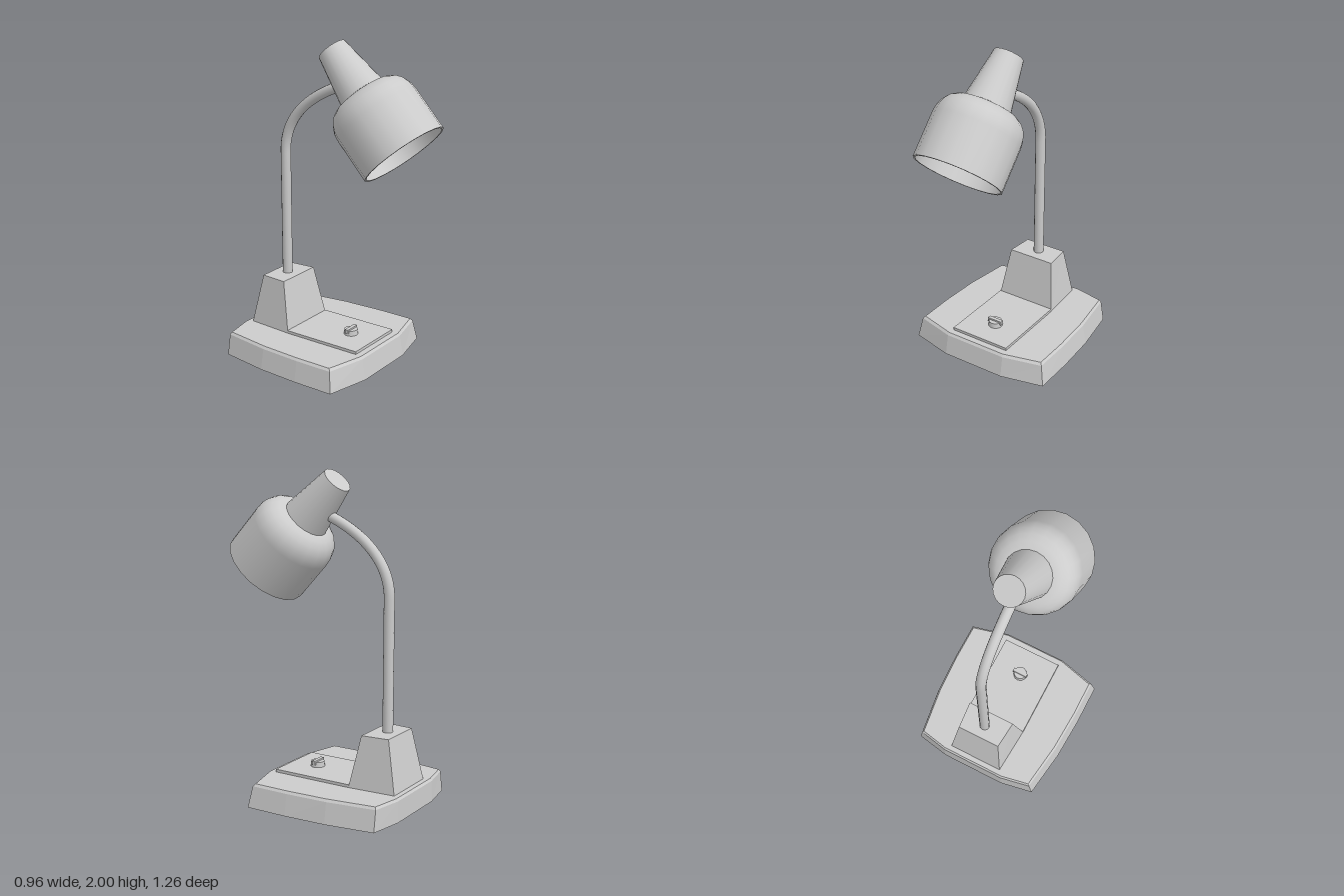
import * as THREE from 'three';

const smooth = new THREE.MeshStandardMaterial({ color: 0xcccccc });
const flat = new THREE.MeshStandardMaterial({ color: 0xcccccc, flatShading: true });

function part(name, geometry, material, parent, x = 0, y = 0, z = 0) {
  const mesh = new THREE.Mesh(geometry, material);
  mesh.name = name;
  mesh.position.set(x, y, z);
  parent.add(mesh);
  return mesh;
}

// Closed solid through horizontal rings. Each ring is { y, half }, where half lists
// the [x, z] corners of the +x side from front to back; the -x side is mirrored.
function loft(rings) {
  const position = [], index = [];
  const n = rings[0].half.length * 2;
  for (const { y, half } of rings) {
    const mirrored = half.map(([x, z]) => [-x, z]).reverse();
    for (const [x, z] of [...half, ...mirrored]) position.push(x, y, z);
  }
  for (let r = 0; r < rings.length - 1; r++) {
    for (let i = 0; i < n; i++) {
      const a = r * n + i, b = r * n + (i + 1) % n;
      index.push(a, b, b + n, a, b + n, a + n);
    }
  }
  const top = (rings.length - 1) * n;
  for (let i = 1; i < n - 1; i++) {
    index.push(0, i + 1, i, top, top + i, top + i + 1);
  }
  const geometry = new THREE.BufferGeometry();
  geometry.setAttribute('position', new THREE.Float32BufferAttribute(position, 3));
  geometry.setIndex(index);
  geometry.computeVertexNormals();
  return geometry;
}

const lathe = (points, sides) =>
  new THREE.LatheGeometry(points.map(([r, y]) => new THREE.Vector2(r, y)), sides);

export function createModel() {
  const lamp = new THREE.Group();
  lamp.name = 'deskLamp';

  // Bowed base with sloping sides and a small bevel round the top
  part('base', loft([
    { y: 0, half: [[0.21, 0.31], [0.48, 0.247], [0.48, -0.02], [0.466, -0.29], [0.422, -0.596], [0.21, -0.635]] },
    { y: 0.13, half: [[0.208, 0.287], [0.455, 0.226], [0.456, -0.02], [0.443, -0.288], [0.4, -0.594], [0.21, -0.631]] },
    { y: 0.145, half: [[0.204, 0.275], [0.443, 0.214], [0.444, -0.02], [0.431, -0.285], [0.39, -0.586], [0.21, -0.621]] },
  ]), flat, lamp);

  // Raised control plate and rotary switch
  part('controlPlate', new THREE.BoxGeometry(0.4, 0.023, 0.525), flat, lamp, 0, 0.1515, -0.0275);
  const knob = new THREE.Group();
  knob.name = 'switchKnob';
  knob.position.set(0, 0.163, 0.058);
  lamp.add(knob);
  part('knobDisc', new THREE.CylinderGeometry(0.042, 0.045, 0.032, 16), smooth, knob, 0, 0.016, 0);
  part('knobGrip', new THREE.BoxGeometry(0.1, 0.026, 0.024), flat, knob, 0, 0.029, 0);

  // Tapered block that holds the stem
  part('stemBlock', loft([
    { y: 0.14, half: [[0.2, -0.287], [0.18, -0.59]] },
    { y: 0.465, half: [[0.155, -0.35], [0.14, -0.525]] },
  ]), flat, lamp);

  // Straight stem, then the bend into the lamp neck
  const path = new THREE.CurvePath();
  const v = (y, z) => new THREE.Vector3(0, y, z);
  path.add(new THREE.LineCurve3(v(0.44, -0.44), v(1.27, -0.44)));
  path.add(new THREE.CubicBezierCurve3(v(1.27, -0.44), v(1.5, -0.44), v(1.655, -0.23), v(1.735, 0.0)));
  part('stem', new THREE.TubeGeometry(path, 48, 0.032, 12), smooth, lamp);

  // Lamp head: its local y axis runs from the rim up to the neck cap
  const head = new THREE.Group();
  head.name = 'lampHead';
  head.position.set(0, 1.383, 0.429);
  head.rotation.x = -0.745;
  lamp.add(head);

  const sides = 20;
  part('shadeOuter', lathe([
    [0.273, 0], [0.273, 0.28], [0.268, 0.325], [0.253, 0.365],
    [0.228, 0.398], [0.192, 0.422], [0.15, 0.433], [0.1, 0.436],
  ], sides), smooth, head);
  part('shadeInner', lathe([
    [0, 0.424], [0.15, 0.421], [0.186, 0.411], [0.22, 0.388],
    [0.243, 0.358], [0.256, 0.322], [0.261, 0.28], [0.261, 0],
  ], sides), smooth, head);
  part('shadeRim', lathe([[0.261, 0], [0.273, 0]], sides), smooth, head);
  part('neck', new THREE.CylinderGeometry(0.092, 0.146, 0.327, sides), smooth, head, 0, 0.5915, 0);

  return lamp;
}
